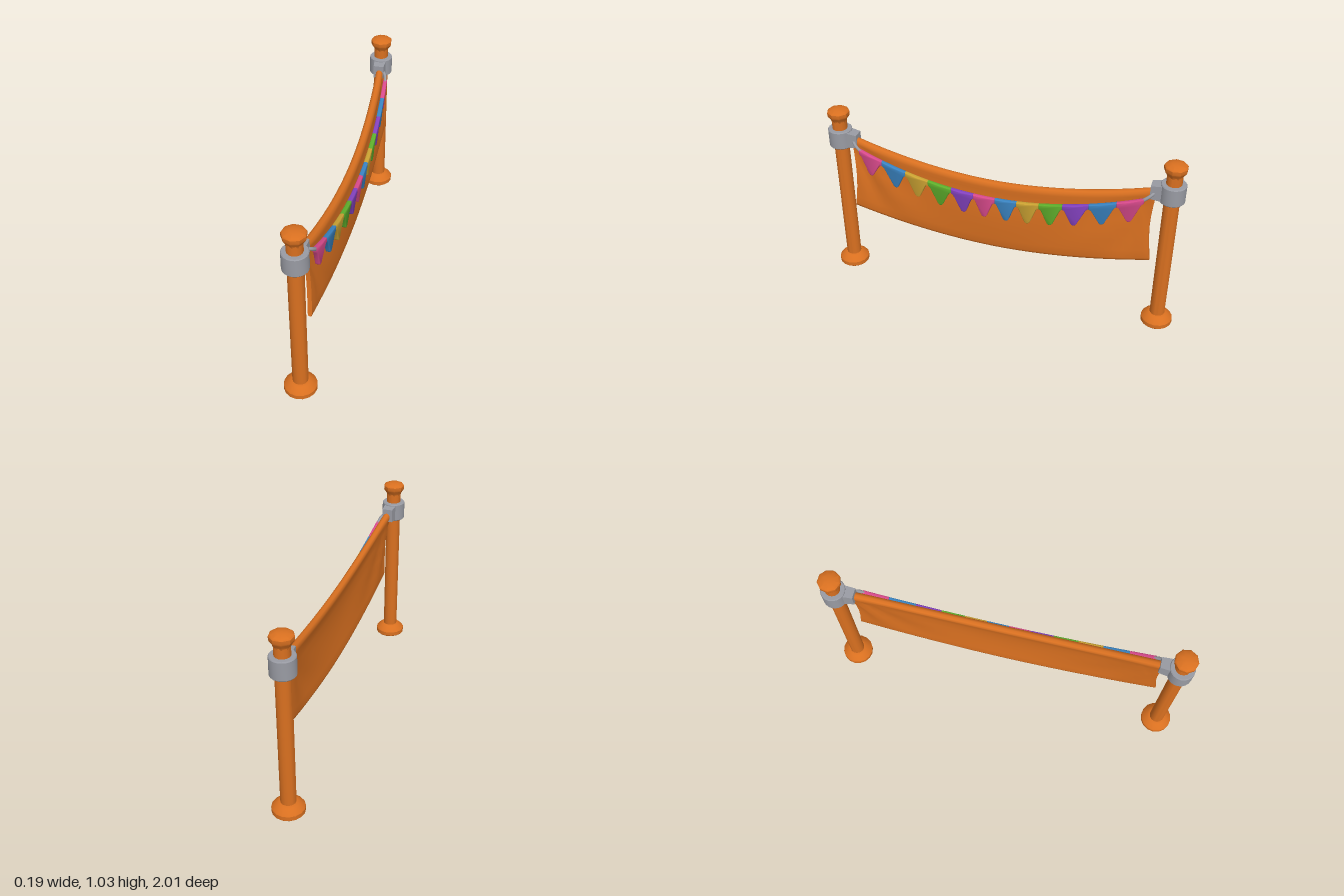
import * as THREE from 'three';
import { toCreasedNormals, mergeVertices } from 'three/addons/utils/BufferGeometryUtils.js';

const material = (name, color) => new THREE.MeshStandardMaterial({ name, color });
const POLE_X = -0.0125, POLE_Z = 0.917;

function mesh(name, geometry, mat, parent) {
  const m = new THREE.Mesh(geometry, mat);
  m.name = name;
  parent.add(m);
  return m;
}

// Turned part with crisp edges, from [radius, height] pairs
function turned(points, sides) {
  const g = new THREE.LatheGeometry(points.map(([r, y]) => new THREE.Vector2(r, y)), sides);
  return toCreasedNormals(g, 0.6);
}

// Closed cloth skin: rows run along z, each row is a loop around the cloth section
function clothGeometry() {
  // [distance down the cloth 0..1, half thickness]
  const section = [[0, 0], [0.012, 0.013], [0.04, 0.02], [0.08, 0.02], [0.13, 0.014], [0.25, 0.011],
    [0.4, 0.011], [0.55, 0.011], [0.7, 0.011], [0.85, 0.011], [0.96, 0.011], [0.99, 0.008], [1, 0]];
  const loop = [...section.map(([t, h]) => [t, h]),
    ...section.slice(1, -1).reverse().map(([t, h]) => [t, -h])];
  const rows = 48, n = loop.length, pos = [], index = [];
  for (let i = 0; i <= rows + 2; i++) {
    const k = THREE.MathUtils.clamp(i - 1, 0, rows);
    const s = (k / rows) * 2 - 1;
    const end = i === 0 || i === rows + 2 ? 0 : 1;
    for (const [t, h] of loop) {
      const a = Math.abs(s);
      const z = s * (0.845 - 0.022 * Math.sin(Math.PI * t) * a ** 6);
      const top = 0.775 + 0.11 * a ** 1.9;
      const bottom = 0.34 + 0.1 * a ** 1.9;
      // Folds fan out from the upper corners
      const dx = (1 - a) * 0.84, dy = t * 0.44;
      const angle = Math.atan2(dy, dx + 0.02);
      const fold = 0.009 * Math.sin(angle * 10) * Math.sin(Math.PI * t) * Math.exp(-dx * 2.5);
      const belly = 0.015 * Math.sin(Math.PI * t) * (1 - a * a);
      const x = 0.036 - 0.04 * a * a * (1 - 0.75 * t) + belly + fold + h * end;
      pos.push(x, top + (bottom - top) * t, z);
    }
  }
  for (let i = 0; i < rows + 2; i++) {
    for (let j = 0; j < n; j++) {
      const a = i * n + j, b = i * n + (j + 1) % n, c = a + n, d = b + n;
      index.push(a, c, b, b, c, d);
    }
  }
  const g = new THREE.BufferGeometry();
  g.setAttribute('position', new THREE.Float32BufferAttribute(pos, 3));
  g.setIndex(index);
  return toCreasedNormals(g, 1.0);
}

// Bunting follows this sagging, bowed line
const lineY = (z) => 0.692 + 0.225 * z * z;
const lineX = (z) => 0.091 - 0.06 * z * z;

// One pennant with its piece of the band, bent onto the line
function pennantGeometry(zTip, zA, zB) {
  const left = zTip - zA, right = zTip - zB, mid = (left + right) / 2;
  const shape = new THREE.Shape();
  shape.moveTo(left, 0);
  shape.lineTo(left, -0.026);
  shape.lineTo(left * 0.82, -0.034);
  shape.lineTo(-0.018, -0.115);
  shape.quadraticCurveTo(-0.012, -0.132, 0, -0.132);
  shape.quadraticCurveTo(0.012, -0.132, 0.018, -0.115);
  shape.lineTo(right * 0.82, -0.034);
  shape.lineTo(right, -0.026);
  shape.lineTo(right, 0);
  shape.lineTo(mid, 0);
  shape.closePath();
  const g = new THREE.ExtrudeGeometry(shape, {
    depth: 0.014, bevelEnabled: true, bevelThickness: 0.005, bevelSize: 0.004,
    bevelOffset: -0.004, bevelSegments: 2, curveSegments: 4,
  });
  g.rotateY(Math.PI / 2);
  const p = g.attributes.position;
  for (let i = 0; i < p.count; i++) {
    const z = p.getZ(i) + zTip, y = p.getY(i);
    p.setXYZ(i, p.getX(i) - 0.019 + lineX(z) + y * 0.06, y + lineY(z), z);
  }
  g.deleteAttribute('normal');
  g.deleteAttribute('uv');
  return toCreasedNormals(mergeVertices(g), 0.9);
}

export function createModel() {
  const model = new THREE.Group();
  model.name = 'bannerWithBunting';
  const orange = material('orange', 0xd97020);
  const grey = material('grey', 0x999ba3);
  const pink = material('pink', 0xd94a8c);
  const blue = material('blue', 0x3a84c2);
  const yellow = material('yellow', 0xcba232);
  const green = material('green', 0x5fb02c);
  const purple = material('purple', 0x8442c0);

  // Posts with feet, caps and clamps
  for (const side of [1, -1]) {
    const post = new THREE.Group();
    post.name = side > 0 ? 'frontPost' : 'backPost';
    post.position.set(POLE_X, 0, side * POLE_Z);
    model.add(post);
    mesh('foot', turned([[0, 0], [0.08, 0], [0.086, 0.006], [0.086, 0.03], [0.08, 0.038],
      [0.055, 0.06], [0.045, 0.064], [0, 0.064]], 16), orange, post);
    mesh('pole', turned([[0.041, 0.05], [0.041, 0.98]], 14), orange, post);
    mesh('cap', turned([[0.041, 0.96], [0.044, 0.972], [0.058, 0.992], [0.061, 1.0], [0.061, 1.018],
      [0.055, 1.025], [0.025, 1.034], [0, 1.035]], 9), orange, post);
    mesh('clamp', turned([[0.04, 0.81], [0.062, 0.81], [0.066, 0.815], [0.066, 0.91],
      [0.062, 0.915], [0.04, 0.915]], 20), grey, post);

    // Arm tapers towards the cloth
    const arm = new THREE.BoxGeometry(0.07, 0.094, 0.08);
    const p = arm.attributes.position;
    for (let i = 0; i < p.count; i++) {
      if (p.getZ(i) * side < 0) p.setXY(i, p.getX(i) * 0.85 + 0.004, p.getY(i) * 0.82);
    }
    arm.computeVertexNormals();
    mesh('clampArm', arm, grey, post).position.set(0.004, 0.862, -side * 0.07);

    // Short cord tying the bunting to the arm
    const cord = new THREE.CatmullRomCurve3([
      new THREE.Vector3(0.01, 0.865, side * 0.835),
      new THREE.Vector3(0.035, 0.845, side * 0.81),
      new THREE.Vector3(lineX(0.77) - 0.01, lineY(0.77) - 0.012, side * 0.77),
    ]);
    mesh('buntingCord', new THREE.TubeGeometry(cord, 8, 0.009, 8), grey, model);
  }

  mesh('clothBanner', clothGeometry(), orange, model);

  // Bunting pennants, from +z to -z
  const tips = [0.724, 0.576, 0.445, 0.311, 0.177, 0.059, -0.064, -0.182, -0.306, -0.434, -0.579, -0.718];
  const colours = [pink, blue, yellow, green, purple, pink, blue, yellow, green, purple, blue, pink];
  const bunting = new THREE.Group();
  bunting.name = 'bunting';
  model.add(bunting);
  tips.forEach((z, i) => {
    const zA = i === 0 ? 0.785 : (tips[i - 1] + z) / 2;
    const zB = i === tips.length - 1 ? -0.785 : (tips[i + 1] + z) / 2;
    mesh('pennant' + (i + 1), pennantGeometry(z, zA, zB), colours[i], bunting);
  });
  return model;
}
